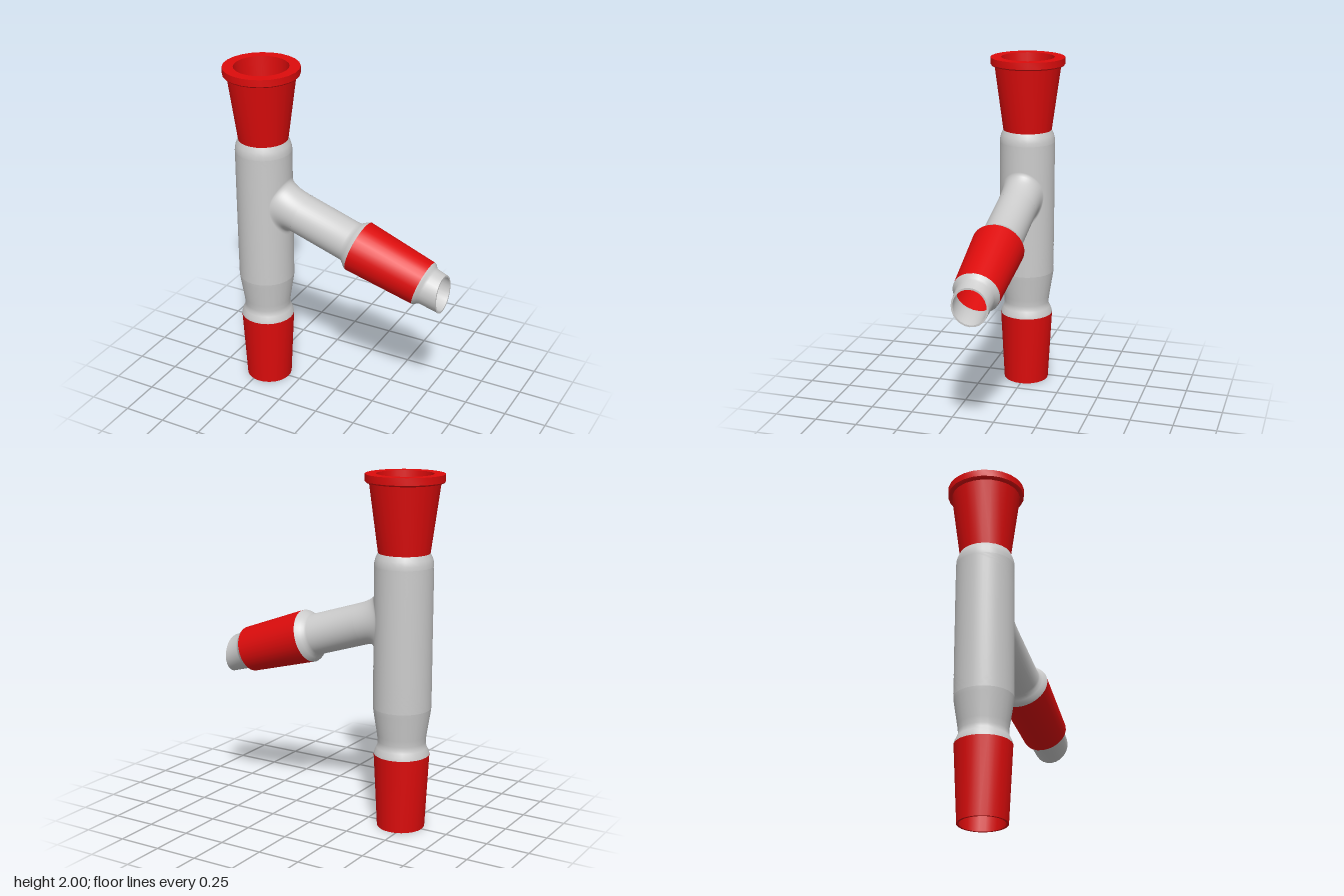
import * as THREE from 'three';
import { toCreasedNormals } from 'three/addons/utils/BufferGeometryUtils.js';
import { ParametricGeometry } from 'three/addons/geometries/ParametricGeometry.js';

const AXIS_X = -0.46;                    // axis of the upright tube
const TILT = THREE.MathUtils.degToRad(18); // downward slope of the side arm
const ARM = { x: 0.15, y: 1.03, start: -0.384 }; // arm origin, start of its straight tube
const SIDES = 24;
const glass = new THREE.MeshStandardMaterial({ color: 0xcccccc, side: THREE.DoubleSide });
const red = new THREE.MeshStandardMaterial({ color: 0xdd0c0c, side: THREE.DoubleSide });

function addMesh(parent, name, geometry, material) {
  const mesh = new THREE.Mesh(geometry, material);
  mesh.name = name;
  parent.add(mesh);
  return mesh;
}

// Turned part: [radius, height] points, up the outside and down the inside
function turned(profile, sides = SIDES) {
  return new THREE.LatheGeometry(profile.map(([r, y]) => new THREE.Vector2(r, y)), sides);
}
const creased = (geometry) => toCreasedNormals(geometry, 0.6);

// Ring (angle t from the top) where an arm of radius r, widened by flare, meets a tube of radius R
function meetingRing(t, R, r, flare) {
  const z = (r + 0.2 * flare) * Math.sin(t);
  const x = AXIS_X + Math.sqrt(R * R - z * z);
  const centre = ARM.y - Math.tan(TILT) * (x - ARM.x);
  return new THREE.Vector3(x, centre + (r / Math.cos(TILT) + flare) * Math.cos(t), z);
}

// Ring of radius r across the arm at its straight start
function armRing(t, r) {
  const p = r * Math.cos(t), s = ARM.start;
  return new THREE.Vector3(
    ARM.x + s * Math.cos(TILT) + p * Math.sin(TILT),
    ARM.y - s * Math.sin(TILT) + p * Math.cos(TILT),
    r * Math.sin(t));
}

// Straight tube wall with an opening for the arm
function piercedWall(R, r, flare) {
  return new ParametricGeometry((u, v, target) => {
    const t = u * Math.PI * 2, q = Math.PI / 2;
    const k = Math.round(t / q), d = (t - k * q) / (q / 2);
    const edgeAngle = Math.PI * (Math.sin(k * q) + d * Math.cos(k * q));
    const edgeY = 1.1 + 0.4 * (Math.cos(k * q) - d * Math.sin(k * q));
    const hole = meetingRing(t, R, r, flare);
    const angle = THREE.MathUtils.lerp(edgeAngle, Math.asin(hole.z / R), v);
    target.set(AXIS_X + R * Math.cos(angle), THREE.MathUtils.lerp(edgeY, hole.y, v), R * Math.sin(angle));
  }, 4 * SIDES, 16);
}

// Curved blend from the tube wall to the arm
function blend(R, r, flare) {
  return new ParametricGeometry((u, v, target) => {
    const t = u * Math.PI * 2, w = 1 - v;
    target.set(0, 0, 0)
      .addScaledVector(meetingRing(t, R, r, flare), w * w)
      .addScaledVector(meetingRing(t, R, r, 0), 2 * w * v)
      .addScaledVector(armRing(t, r), v * v);
  }, 4 * SIDES, 8);
}

export function createModel() {
  const model = new THREE.Group();

  // Upright tube
  const upright = new THREE.Group();
  upright.name = 'uprightTube';
  upright.position.x = AXIS_X;
  model.add(upright);
  addMesh(upright, 'lowerCone', creased(turned([
    [0.157, 0.43], [0.144, 0.43], [0.123, 0], [0.135, 0], [0.157, 0.43],
  ].reverse())), red);
  addMesh(upright, 'lowerNeckOutside', creased(turned([
    [0.157, 0.43], [0.153, 0.447], [0.142, 0.47], [0.136, 0.485], [0.135, 0.505], [0.139, 0.54], [0.16, 0.675], [0.163, 0.7],
  ])), glass);
  addMesh(upright, 'lowerNeckInside', creased(turned([
    [0.144, 0.43], [0.128, 0.465], [0.12, 0.495], [0.126, 0.54], [0.147, 0.7],
  ])), glass);
  addMesh(upright, 'upperShoulderOutside', creased(turned([
    [0.163, 1.5], [0.162, 1.52], [0.156, 1.545], [0.143, 1.572],
  ])), glass);
  addMesh(upright, 'upperShoulderInside', creased(turned([
    [0.147, 1.5], [0.144, 1.53], [0.13, 1.572],
  ])), glass);
  addMesh(upright, 'upperSocket', creased(turned([
    [0.13, 1.572], [0.143, 1.572], [0.194, 1.95], [0.211, 1.953], [0.217, 1.96], [0.217, 2], [0.156, 2], [0.13, 1.572],
  ])), red);

  // Pierced middle of the tube and its blend into the arm
  addMesh(model, 'tubeWallOutside', piercedWall(0.163, 0.118, 0.05), glass);
  addMesh(model, 'tubeWallInside', piercedWall(0.147, 0.103, 0), glass);
  addMesh(model, 'armBlendOutside', blend(0.163, 0.118, 0.05), glass);
  addMesh(model, 'armBlendInside', blend(0.147, 0.103, 0), glass);

  // Side arm, built along its own y axis
  const arm = new THREE.Group();
  arm.name = 'sideArm';
  arm.position.set(ARM.x, ARM.y, 0);
  arm.rotation.z = -(Math.PI / 2 + TILT);
  model.add(arm);
  addMesh(arm, 'armTube', creased(turned([
    [0.118, ARM.start], [0.118, -0.06], [0.122, -0.045], [0.134, -0.03], [0.147, -0.013], [0.153, 0],
    [0.14, 0], [0.12, -0.03], [0.103, -0.06], [0.103, ARM.start],
  ], 48)), glass);
  addMesh(arm, 'armCone', creased(turned([
    [0.14, 0], [0.153, 0], [0.133, 0.426], [0.12, 0.426], [0.14, 0],
  ])), red);

  // Drip tip, its end cut upright
  const tip = turned([
    [0.133, 0.426], [0.128, 0.436], [0.115, 0.447], [0.11, 0.46], [0.105, 0.6],
    [0.095, 0.6], [0.099, 0.46], [0.12, 0.426],
  ]);
  const pos = tip.attributes.position;
  for (let i = 0; i < pos.count; i++) {
    if (pos.getY(i) > 0.5) pos.setY(i, (0.525 + pos.getX(i) * Math.sin(TILT)) / Math.cos(TILT));
  }
  addMesh(arm, 'dripTip', creased(tip), glass);

  return model;
}
